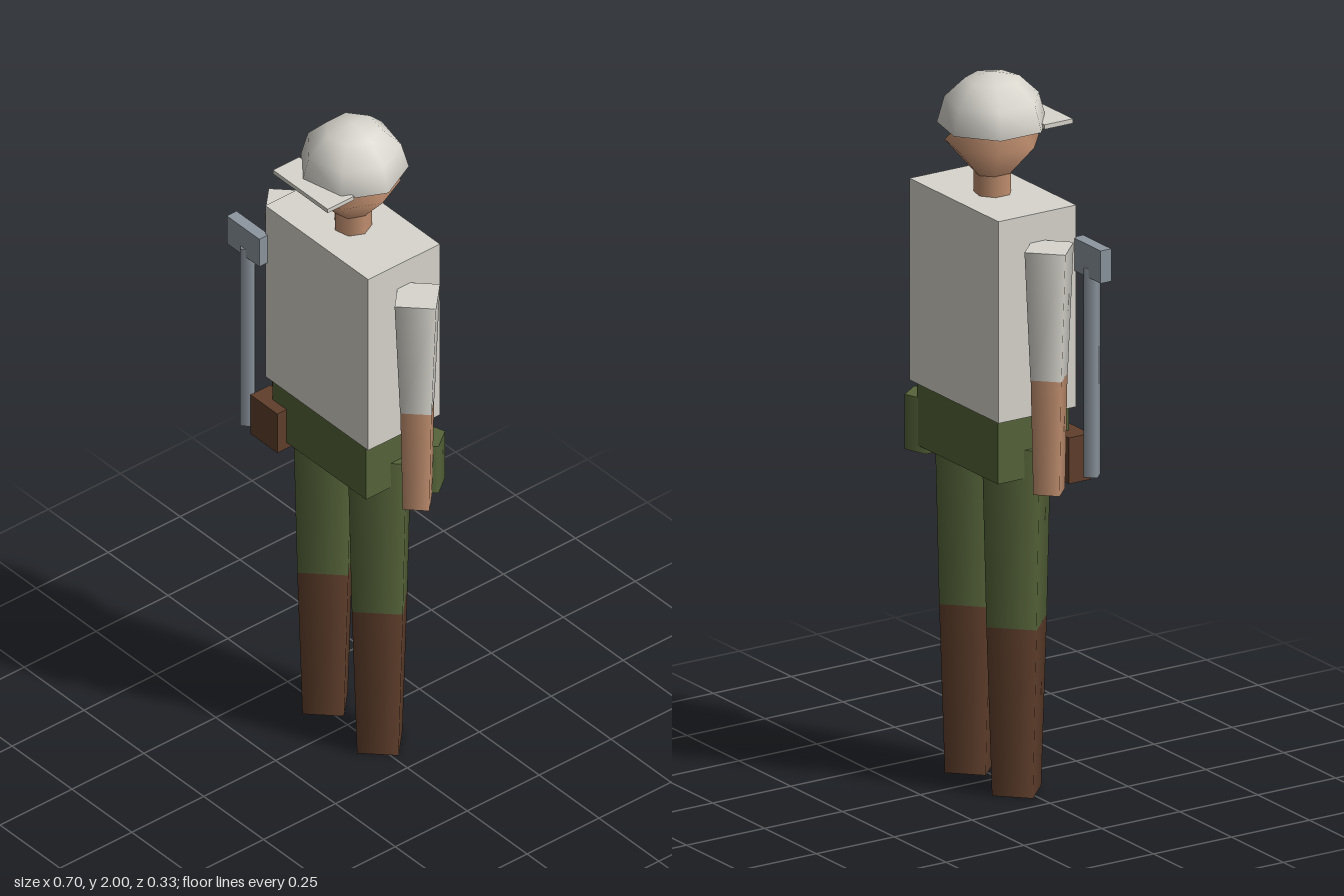
import * as THREE from 'three';

function makeMaterial(name, color) {
  const m = new THREE.MeshStandardMaterial({ color });
  m.name = name;
  return m;
}

export function createModel() {
  const cloth = makeMaterial('off-white', 0xd9d6ce);
  const olive = makeMaterial('olive green', 0x56643a);
  const leather = makeMaterial('brown leather', 0x603f2c);
  const skin = makeMaterial('skin', 0xc29070);
  const metal = makeMaterial('blue-grey metal', 0x8d969f);

  const model = new THREE.Group();
  model.name = 'worker';
  const AXIS = -0.017; // depth of the body's centre line

  function add(name, geometry, material) {
    const mesh = new THREE.Mesh(geometry, material);
    mesh.name = name;
    model.add(mesh);
    return mesh;
  }

  // box given by its extents
  function box(name, material, [x0, x1], [y0, y1], [z0, z1]) {
    const mesh = add(name, new THREE.BoxGeometry(x1 - x0, y1 - y0, z1 - z0), material);
    mesh.position.set((x0 + x1) / 2, (y0 + y1) / 2, (z0 + z1) / 2);
  }

  // tapered upright prism with one corner towards +x
  function prism(name, material, sides, x, z, [y0, r0], [y1, r1]) {
    const g = new THREE.CylinderGeometry(r1, r0, y1 - y0, sides).rotateY(Math.PI / 2);
    add(name, g, material).position.set(x, (y0 + y1) / 2, z);
  }

  // torso and hips
  box('torso', cloth, [-0.215, 0.215], [1.09, 1.66], [-0.142, 0.107]);
  box('hips', olive, [-0.195, 0.195], [0.91, 1.09], [-0.131, 0.098]);

  // four-sided limbs
  for (const [side, s] of [['left', 1], ['right', -1]]) {
    prism(side + 'Boot', leather, 4, s * 0.114, AXIS, [0, 0.079], [0.48, 0.097]);
    prism(side + 'Leg', olive, 4, s * 0.114, AXIS, [0.48, 0.097], [0.99, 0.111]);
    prism(side + 'Forearm', skin, 4, s * 0.271, AXIS, [0.89, 0.051], [1.215, 0.059]);
    prism(side + 'Sleeve', cloth, 4, s * 0.271, AXIS, [1.215, 0.06], [1.58, 0.079]);
  }

  // neck and diamond-shaped head
  prism('neck', skin, 7, 0, AXIS, [1.64, 0.052], [1.72, 0.052]);
  const head = add('head', new THREE.SphereGeometry(1, 7, 2).rotateY(Math.PI), skin);
  head.scale.set(0.126, 0.145, 0.132);
  head.position.set(0, 1.805, AXIS);

  // helmet: seven-sided dome, closed underneath, with a visor
  const dome = new THREE.SphereGeometry(0.151, 7, 3, 0, Math.PI * 2, 0, Math.PI / 2);
  const helmet = add('helmet', dome.rotateY(Math.PI), cloth);
  helmet.scale.y = 0.147 / 0.151;
  helmet.position.set(0, 1.853, AXIS);
  const base = add('helmetBase', new THREE.CircleGeometry(0.151, 7).rotateX(Math.PI / 2), cloth);
  base.position.set(0, 1.853, AXIS);
  box('visor', cloth, [-0.114, 0.114], [1.851, 1.864], [0.073, 0.164]);

  // gear on the belt
  box('pouch', leather, [-0.249, -0.137], [0.89, 1.02], [0.062, 0.13]);
  prism('canteen', olive, 5, 0.215, -0.088, [0.89, 0.06], [1.045, 0.06]);

  // hammer carried by the right hand
  prism('hammerHandle', metal, 4, -0.273, 0.119, [0.91, 0.027], [1.5, 0.027]);
  box('hammerHead', metal, [-0.341, -0.205], [1.475, 1.567], [0.102, 0.136]);

  return model;
}
